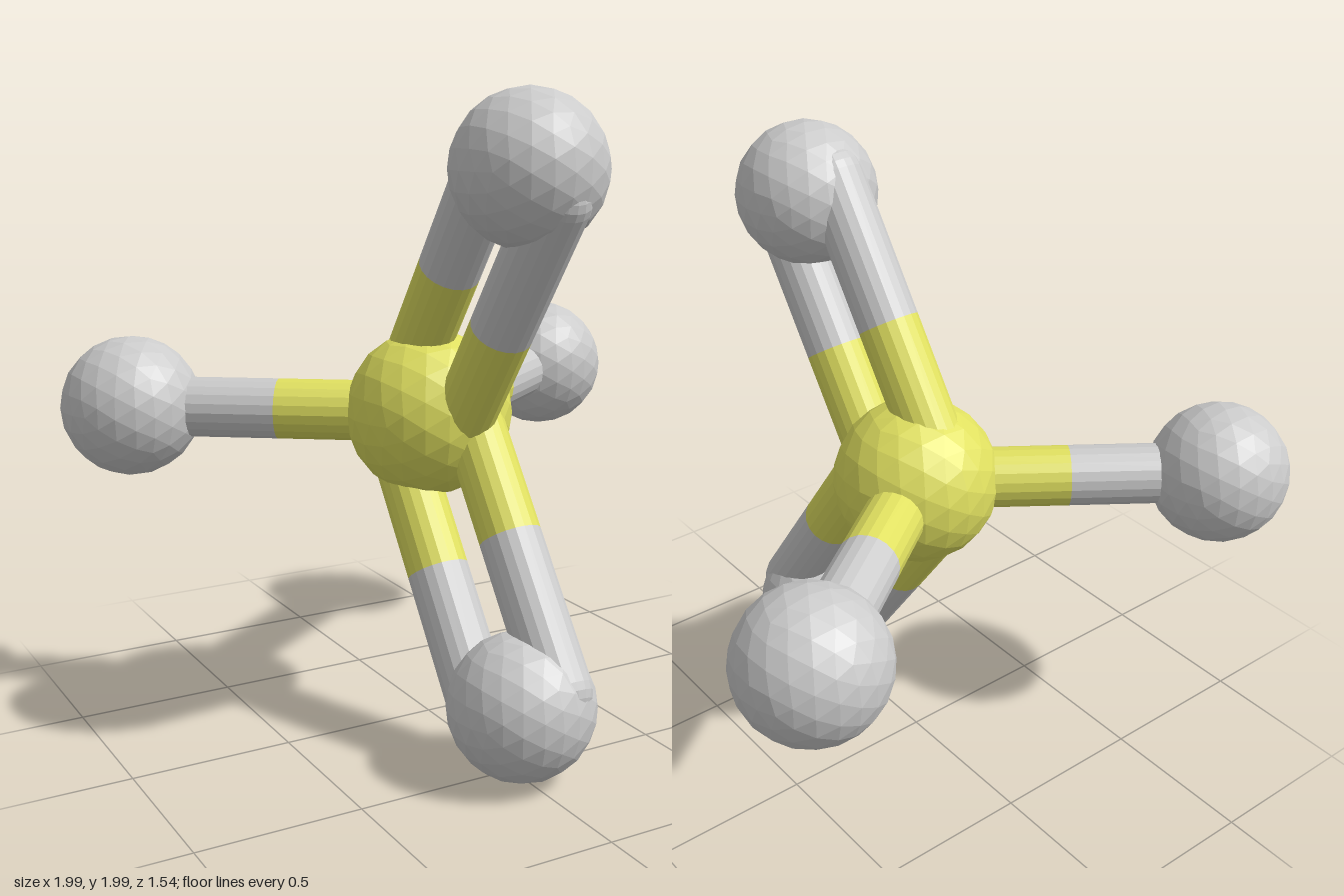
import * as THREE from 'three';

const GREY = new THREE.MeshStandardMaterial({ color: 0xcccccc, flatShading: true });
const YELLOW = new THREE.MeshStandardMaterial({ color: 0xe0e060, flatShading: true });

const CENTRE = new THREE.Vector3(0, 1, 0);
const REACH = 0.775;            // outer atom distance along x or y
const DEPTH = 0.55;             // outer atom distance along z
const ROD = 0.095;
const UP = new THREE.Vector3(0, 1, 0);

function atom(name, position, radius, material) {
  const mesh = new THREE.Mesh(new THREE.IcosahedronGeometry(radius, 3), material);
  mesh.name = name;
  mesh.position.copy(position);
  return mesh;
}

// Rod between two points: yellow inner half, grey outer half with a rounded end
function bond(name, from, to) {
  const group = new THREE.Group();
  group.name = name;
  const length = from.distanceTo(to);
  const half = new THREE.CylinderGeometry(ROD, ROD, length / 2, 20, 1, true);

  const inner = new THREE.Mesh(half, YELLOW);
  inner.name = 'innerHalf';
  inner.position.y = length / 4;
  const outer = new THREE.Mesh(half, GREY);
  outer.name = 'outerHalf';
  outer.position.y = length * 0.75;
  const cap = new THREE.Mesh(
    new THREE.SphereGeometry(ROD, 20, 6, 0, Math.PI * 2, 0, Math.PI / 2), GREY);
  cap.name = 'roundedEnd';
  cap.position.y = length;

  group.add(inner, outer, cap);
  group.position.copy(from);
  group.quaternion.setFromUnitVectors(UP, to.clone().sub(from).normalize());
  return group;
}

export function createModel() {
  const model = new THREE.Group();
  model.name = 'molecule';
  model.add(atom('centreAtom', CENTRE, 0.26, YELLOW));

  // Side atoms, each on a single bond
  for (const [side, s] of [['left', 1], ['right', -1]]) {
    const end = new THREE.Vector3(s * REACH, 1, -DEPTH);
    model.add(atom(side + 'Atom', end, 0.222, GREY));
    model.add(bond(side + 'Bond', CENTRE, end));
  }

  // Upper and lower atoms, each on a pair of parallel bonds
  for (const [level, s, shiftX, shift] of [['upper', 1, 0.022, 0.135], ['lower', -1, 0.067, 0.121]]) {
    const end = new THREE.Vector3(0, 1 + s * REACH, DEPTH);
    model.add(atom(level + 'Atom', end, 0.222, GREY));
    const offset = new THREE.Vector3(0, -s * DEPTH, REACH).normalize().multiplyScalar(shift);
    offset.x = shiftX;
    for (const [place, k] of [['Front', 1], ['Back', -1]]) {
      const move = offset.clone().multiplyScalar(k);
      model.add(bond(level + place + 'Bond', CENTRE.clone().add(move), end.clone().add(move)));
    }
  }
  return model;
}
